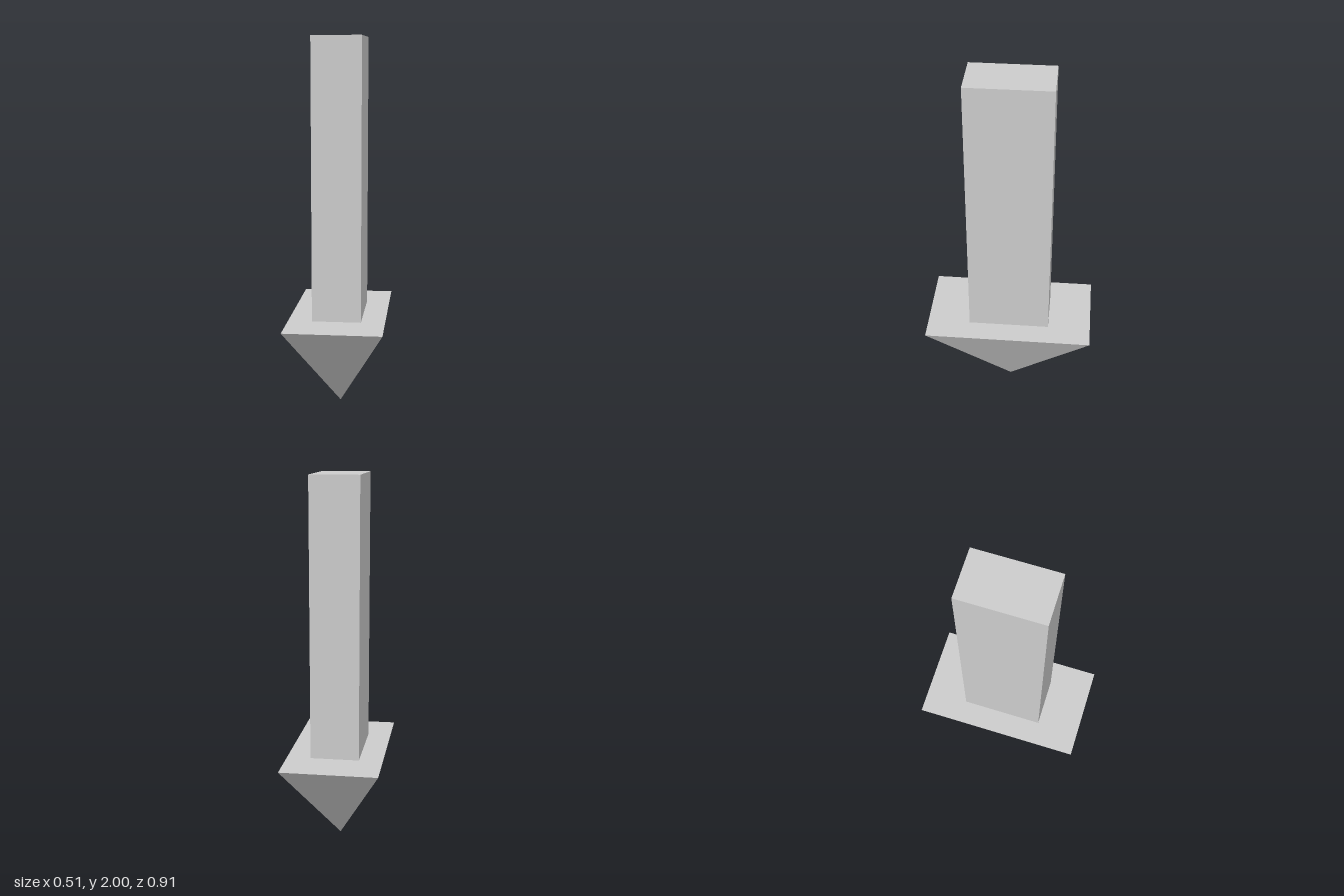
import * as THREE from 'three';

export function createModel() {
  const model = new THREE.Group();
  const material = new THREE.MeshStandardMaterial({ color: 0xcccccc, flatShading: true });
  const headHeight = 0.515, shaftHeight = 2 - headHeight;

  const add = (name, geometry, y) => {
    const mesh = new THREE.Mesh(geometry, material);
    mesh.name = name;
    mesh.position.y = y;
    model.add(mesh);
  };

  // Arrow head: four-sided pyramid with a 1 x 1 base, turned point down and stretched
  const head = new THREE.ConeGeometry(Math.SQRT1_2, headHeight, 4, 1, false, Math.PI / 4);
  head.rotateX(Math.PI).scale(0.515, 1, 0.912);
  add('arrowHead', head, headHeight / 2);

  // Upright rectangular shaft standing on the head
  add('shaft', new THREE.BoxGeometry(0.26, shaftHeight, 0.443), headHeight + shaftHeight / 2);

  return model;
}
